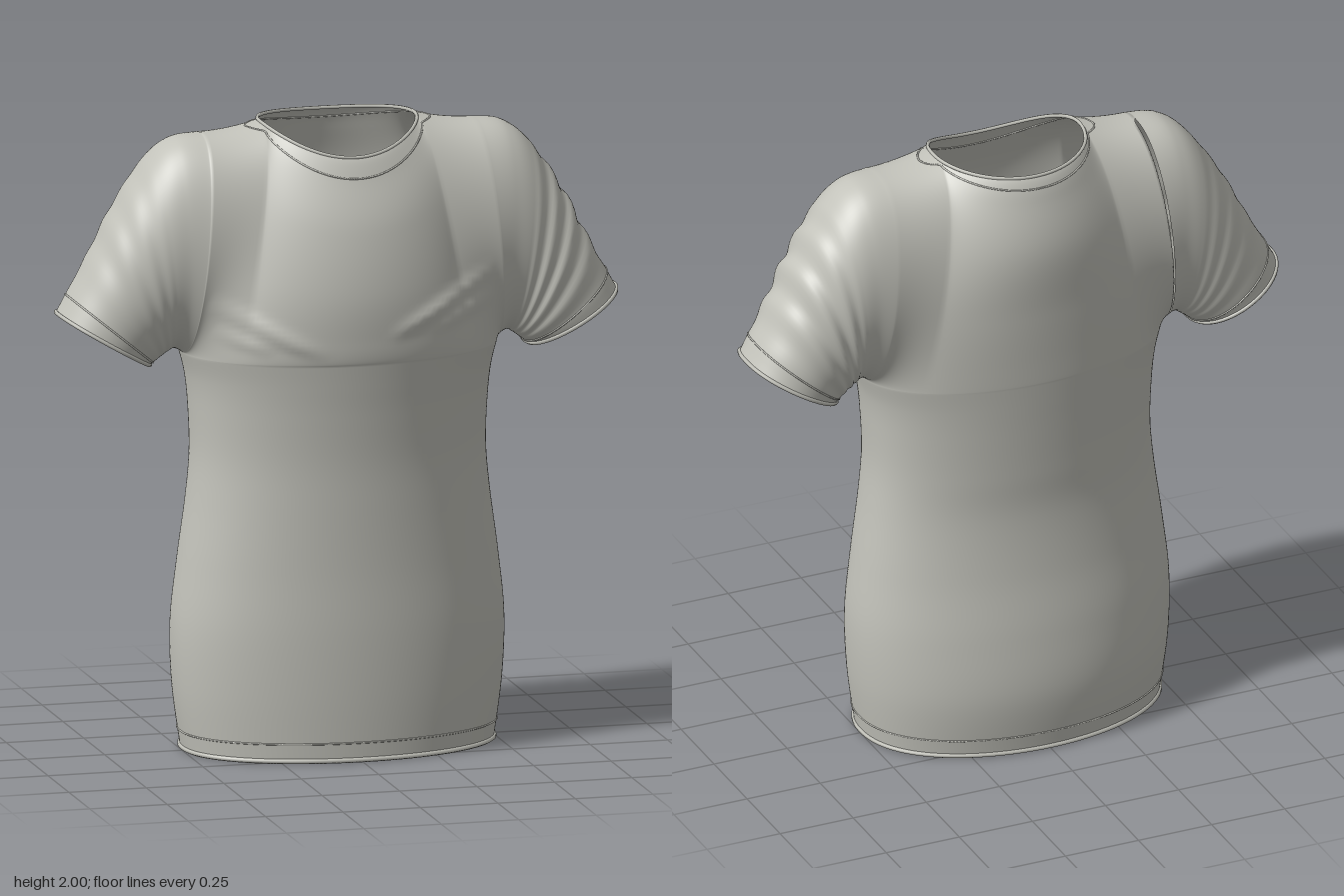
import * as THREE from 'three';

const { PI, sin, cos, abs, sign, max, min, sqrt, exp, round } = Math;
const HALF = 72;        // columns across the front, and again across the back
const ROWS = 48;        // rows from armpit to shoulder
const PHI_N = 0.75;     // column angle that ends at the neck point
const ARMPIT = 1.275, SHOULDER = 1.967;

const spline = pts => new THREE.SplineCurve(pts.map(p => new THREE.Vector2(...p)));
const series = vals => {
  const c = spline(vals.map((v, i) => [v, i]));
  return t => c.getPoint(min(1, max(0, t))).x;
};
const lerp = THREE.MathUtils.lerp;
const bow = (s, p) => sign(s) * abs(s) ** p;

// Torso profile, evenly indexed from hem to armpit
const bodyY = series([0.008, 0.2, 0.4, 0.6, 0.8, 0.95, 1.1, 1.2, ARMPIT]);
const bodyW = series([0.497, 0.523, 0.53, 0.51, 0.483, 0.47, 0.475, 0.486, 0.505]);
const bodyF = series([0.315, 0.32, 0.32, 0.315, 0.315, 0.318, 0.33, 0.341, 0.35]);
const bodyB = series([0.335, 0.353, 0.333, 0.3, 0.28, 0.283, 0.289, 0.294, 0.298]);

function bodyPoint(t, phi) {
  const s = sin(phi), depth = s >= 0 ? bodyF(t) : bodyB(t);
  return [bodyW(t) * cos(phi), bodyY(t), depth * bow(s, 0.9)];
}

// Depth of the chest and upper back along the centre line, armpit to neck
const chest = series([0.35, 0.357, 0.357, 0.32, 0.255, 0.222]);
const back = series([0.298, 0.3, 0.305, 0.307, 0.262, 0.228]);

// Soft diagonal creases running in from the armpits
const creases = [
  [0.46, 1.53, 0.08, 1.36, 0.013], [0.46, 1.45, 0.22, 1.37, 0.009],
  [-0.47, 1.47, -0.12, 1.29, 0.013], [-0.45, 1.38, -0.28, 1.31, 0.008],
];
function creaseAt(x, y) {
  let sum = 0;
  for (const [ax, ay, bx, by, h] of creases) {
    const dx = bx - ax, dy = by - ay, len2 = dx * dx + dy * dy;
    const k = ((x - ax) * dx + (y - ay) * dy) / len2;
    if (k <= 0 || k >= 1) continue;
    const d = ((x - ax) * dy - (y - ay) * dx) / sqrt(len2);
    sum += h * sin(PI * k) * exp(-((d / 0.022) ** 2));
  }
  return sum * min(1, (y - ARMPIT) / 0.06);
}

// Yoke: from the armpit ring up to the shoulder seams and neckline
function yokePoint(v, phi) {
  const front = phi <= PI, a = front ? phi : 2 * PI - phi;
  const g = (1 - cos(PI * v)) / 2;
  const e = min(a, PI - a);
  let topX, topY, topS = 0;
  if (e < PHI_N) {
    const k = e / PHI_N;
    topX = sign(cos(a)) * lerp(0.44, 0.25, k);
    topY = SHOULDER + (1.994 - SHOULDER) * k * k;
  } else {
    const psi = (a - PHI_N) / (PI - 2 * PHI_N) * PI;
    topX = 0.25 * cos(psi);
    topS = max(0, sin(psi));
    topY = 1.994 - (front ? 0.085 : 0.02) * topS * topS;
  }
  const x = lerp(0.505 * cos(a), topX, g), y = lerp(ARMPIT, topY, g);
  const shape = lerp(max(0, sin(a)) ** 0.9, topS, g ** 1.5);
  const side = 0.22 * max(0, sin(PI * v)) ** 0.85;
  const mid = front ? chest(v) : back(v);
  let z = (side ** 3 * (1 - shape ** 3) + (mid * shape) ** 3) ** (1 / 3);
  if (front && v > 0) z += creaseAt(x, y) * min(1, a / 0.3, (PI - a) / 0.3);
  return [x, y, front ? z : -z];
}

// Sleeve: rings fanning from the armhole to the cuff
const sleeveTop = spline([[0.44, SHOULDER], [0.53, 1.955], [0.61, 1.895], [0.71, 1.75], [0.80, 1.58], [0.895, 1.41]]);
const sleeveLow = spline([[0.505, ARMPIT], [0.52, 1.285], [0.54, 1.29], [0.56, 1.28], [0.585, 1.262], [0.61, 1.243]]);
const sleeveZ = series([0.22, 0.21, 0.205, 0.195, 0.18, 0.168]);

function sleevePoint(t, theta, mirror) {
  const top = sleeveTop.getPoint(t), low = sleeveLow.getPoint(t);
  const fade = sin(PI * min(1, max(0, (t - 0.4) / 0.55)));
  const ripple = 1 + (mirror > 0 ? 0.035 : 0.012) * fade * sin(t * 48 + 0.8 * cos(theta) + 1.2 * sin(theta));
  const c = cos(theta) * (cos(theta) > 0 ? ripple : 1);
  return [
    mirror * ((top.x + low.x) / 2 + (top.x - low.x) / 2 * c),
    (top.y + low.y) / 2 + (top.y - low.y) / 2 * c,
    -sleeveZ(t) * bow(sin(theta), 0.85) * ripple - 0.012 * t,
  ];
}

// Surface from a grid of points
function grid(rows, cols, point, flip) {
  const pos = [], idx = [];
  for (let i = 0; i <= rows; i++)
    for (let j = 0; j <= cols; j++) pos.push(...point(i / rows, j / cols));
  for (let i = 0; i < rows; i++)
    for (let j = 0; j < cols; j++) {
      const a = i * (cols + 1) + j, b = a + 1, c = a + cols + 1, d = c + 1;
      if (flip) idx.push(a, b, c, b, d, c);
      else idx.push(a, c, b, b, c, d);
    }
  const geo = new THREE.BufferGeometry();
  geo.setAttribute('position', new THREE.Float32BufferAttribute(pos, 3));
  geo.setIndex(idx);
  geo.computeVertexNormals();
  return geo;
}

// Share normals where the panels meet so the cloth reads as one piece
function blendNormals(geos) {
  const sums = new Map();
  const each = fn => geos.forEach(g => {
    const p = g.attributes.position, n = g.attributes.normal;
    for (let i = 0; i < p.count; i++) {
      const key = [p.getX(i), p.getY(i), p.getZ(i)].map(q => round(q * 1e4 + 0.0123)).join();
      fn(key, n, i);
    }
  });
  each((key, n, i) => {
    if (!sums.has(key)) sums.set(key, new THREE.Vector3());
    sums.get(key).add(new THREE.Vector3().fromBufferAttribute(n, i));
  });
  sums.forEach(s => s.normalize());
  each((key, n, i) => { const s = sums.get(key); n.setXYZ(i, s.x, s.y, s.z); });
}

// Closed piping that follows a loop on the cloth
function piping(point, radius) {
  const pts = Array.from({ length: 120 }, (_, i) => new THREE.Vector3(...point(i / 120)));
  return new THREE.TubeGeometry(new THREE.CatmullRomCurve3(pts, true), 240, radius, 6, true);
}

export function createModel() {
  const group = new THREE.Group();
  const cloth = new THREE.MeshStandardMaterial({ color: 0xc2c2ba, side: THREE.DoubleSide });
  cloth.name = 'greyCloth';
  const add = (name, geo) => {
    const mesh = new THREE.Mesh(geo, cloth);
    mesh.name = name;
    group.add(mesh);
  };

  // Cloth panels
  const panels = {
    torso: grid(56, 2 * HALF, (v, u) => bodyPoint(v, u * 2 * PI)),
    frontYoke: grid(ROWS, HALF, (v, u) => yokePoint(v, u * PI)),
    backYoke: grid(ROWS, HALF, (v, u) => yokePoint(v, PI + u * PI)),
    leftSleeve: grid(56, 2 * ROWS, (v, u) => sleevePoint(v, u * 2 * PI, 1)),
    rightSleeve: grid(56, 2 * ROWS, (v, u) => sleevePoint(v, u * 2 * PI, -1), true),
  };
  blendNormals(Object.values(panels));
  Object.entries(panels).forEach(([name, geo]) => add(name, geo));

  // Rolled hem and its stitch line
  add('hemEdge', piping(u => bodyPoint(0, u * 2 * PI), 0.008));
  add('hemStitch', piping(u => bodyPoint(0.045, u * 2 * PI), 0.003));

  // Cuff edges, cuff stitches and sleeve seams
  for (const [side, m] of [['left', 1], ['right', -1]]) {
    add(side + 'CuffEdge', piping(u => sleevePoint(1, u * 2 * PI, m), 0.007));
    add(side + 'CuffStitch', piping(u => sleevePoint(0.92, u * 2 * PI, m), 0.003));
  }

  // Neckline edge and collar stitch
  const neckLoop = (u, start, drop) => {
    const s = (u * 2) % 1, a = start + s * (PI - 2 * start);
    const isBack = u >= 0.5;
    return yokePoint(1 - drop * (isBack ? 0.7 : 1) * sin(PI * s) ** 0.6, isBack ? PI + a : a);
  };
  add('collarEdge', piping(u => neckLoop(u, PHI_N, 0), 0.006));
  add('collarStitch', piping(u => neckLoop(u, PHI_N * 0.75, 0.2), 0.003));

  return group;
}
